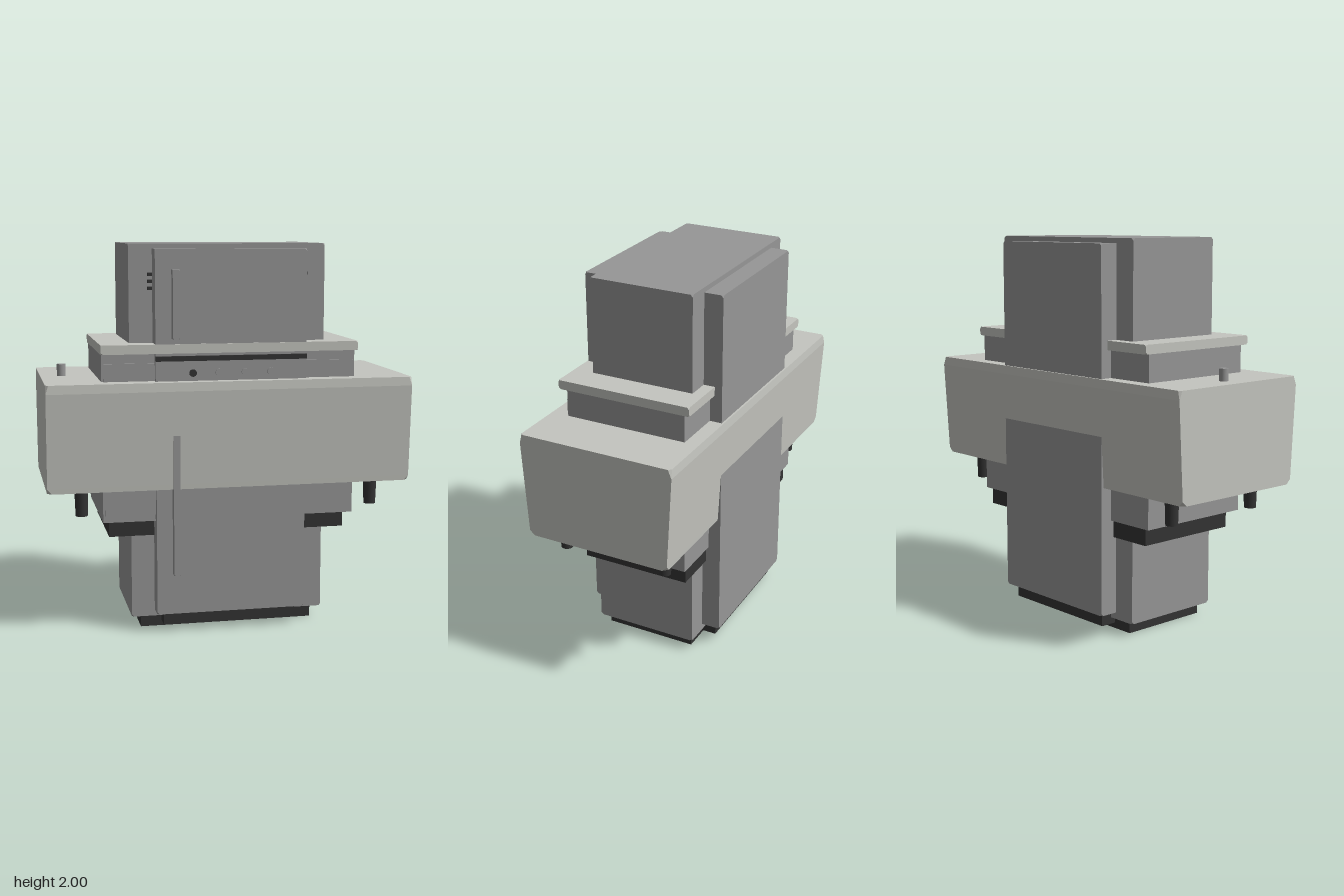
import * as THREE from 'three';
import { ConvexGeometry } from 'three/addons/geometries/ConvexGeometry.js';

export function createModel() {
  const model = new THREE.Group();
  const mat = (name, color) => {
    const m = new THREE.MeshStandardMaterial({ color });
    m.name = name;
    return m;
  };
  const gray = mat('mid gray', 0x969696);
  const pale = mat('pale stone', 0xc4c5bf);
  const dark = mat('charcoal', 0x333333);

  const add = (name, geo, material, x = 0, y = 0, z = 0) => {
    const mesh = new THREE.Mesh(geo, material);
    mesh.name = name;
    mesh.position.set(x, y, z);
    model.add(mesh);
    return mesh;
  };
  // Box from its limits, with small cuts at the eight corners when cut > 0
  const box = (name, material, [x0, x1], [y0, y1], [z0, z1], cut = 0) => {
    const w = x1 - x0, h = y1 - y0, d = z1 - z0;
    let geo = new THREE.BoxGeometry(w, h, d);
    if (cut) {
      const pts = [];
      for (const a of [-1, 1]) for (const b of [-1, 1]) for (const c of [-1, 1]) {
        const p = [a * w / 2, b * h / 2, c * d / 2];
        [a, b, c].forEach((s, i) => {
          const q = p.slice();
          q[i] -= s * cut;
          pts.push(new THREE.Vector3(...q));
        });
      }
      geo = new ConvexGeometry(pts);
    }
    return add(name, geo, material, (x0 + x1) / 2, (y0 + y1) / 2, (z0 + z1) / 2);
  };

  // Tall cabinet: wide body, front and back panels, plinths
  box('cabinetBody', gray, [-0.51, 0.51], [0.065, 2], [-0.3, 0.255], 0.012);
  box('cabinetCore', gray, [-0.39, 0.39], [0.1, 1.975], [-0.4, 0.355], 0.012);
  box('cabinetPlinth', dark, [-0.46, 0.46], [0, 0.068], [-0.27, 0.225]);
  box('corePlinth', dark, [-0.35, 0.35], [0.03, 0.102], [-0.36, 0.315]);
  box('upperHandle', gray, [-0.308, -0.274], [1.53, 1.875], [0.35, 0.4], 0.006);
  box('lowerHandle', gray, [-0.308, -0.274], [0.315, 1.1], [0.35, 0.401], 0.006);

  // Vent slots beside the upper door
  for (const s of [-1, 1]) for (const y of [1.777, 1.812, 1.847]) {
    box('ventSlot', dark, [s * 0.403 - 0.012, s * 0.403 + 0.012],
      [y - 0.008, y + 0.008], [0.25, 0.268]);
  }

  // Counter unit with slab, front panel and plinth
  box('counterBody', gray, [-0.66, 0.66], [0.59, 1.456], [-0.335, 0.315]);
  box('counterPanel', gray, [-0.648, 0.648], [0.625, 1.405], [0.31, 0.325], 0.005);
  box('counterSlab', pale, [-0.665, 0.665], [1.455, 1.502], [-0.36, 0.36], 0.01);
  box('counterPlinth', dark, [-0.625, 0.625], [0.502, 0.592], [-0.32, 0.26]);

  // Control strip and knobs
  box('controlStrip', dark, [-0.39, 0.39], [1.417, 1.442], [0.35, 0.369]);
  [-0.2, -0.065, 0.07, 0.205].forEach((x, i) => {
    const knob = new THREE.CylinderGeometry(0.019, 0.019, 0.014, 16).rotateX(Math.PI / 2);
    add('knob', knob, i ? gray : dark, x, 1.355, 0.356);
  });

  // Tapered basin: cross-section levels with the corners trimmed
  const levels = [
    // y, half width, half depth, trim
    [0.765, 0.945, 0.385, 0.025],
    [0.79, 0.945, 0.3865, 0],
    [1.27, 0.945, 0.414, 0],
    [1.315, 0.945, 0.41, 0.014],
  ];
  const basin = [];
  for (const [y, w, d, t] of levels) for (const a of [-1, 1]) for (const c of [-1, 1]) {
    basin.push(new THREE.Vector3(a * (w - t), y, c * d));
    if (t) basin.push(new THREE.Vector3(a * w, y, c * (d - t)));
  }
  add('basin', new ConvexGeometry(basin), pale);

  // Basin feet and the small peg on its rim
  for (const x of [-0.767, 0.767]) for (const z of [-0.28, 0.287]) {
    add('basinFoot', new THREE.CylinderGeometry(0.036, 0.031, 0.15, 16), dark, x, 0.703, z);
  }
  add('rimPeg', new THREE.CylinderGeometry(0.023, 0.023, 0.07, 16), gray, -0.835, 1.342, 0);

  return model;
}
